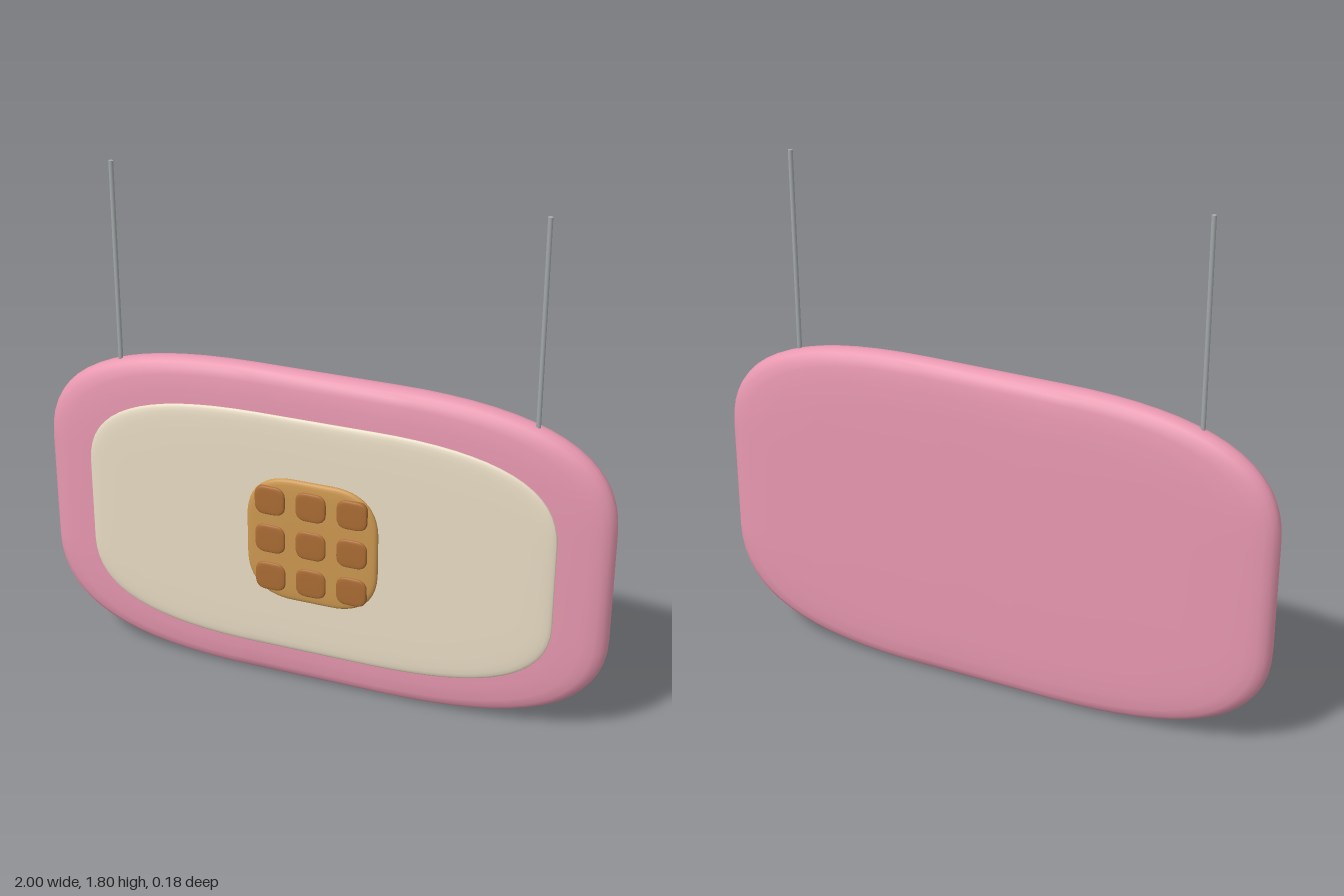
import * as THREE from 'three';

// Quarter corners on a unit square: start, two handles, end
const OVAL = [[0.25, 1], [0.75, 1], [1, 0.8], [1, 0.34]];
const SQUIRCLE = [[0.3, 1], [0.75, 1], [1, 0.75], [1, 0.3]];

// Edge profile from front centre to rim: [scale of outline, share of half depth]
const SOFT = [[0, 1], [0.4, 1], [0.7, 0.98], [0.84, 0.93], [0.92, 0.84], [0.96, 0.72],
  [0.983, 0.52], [0.996, 0.26], [1, 0]];

// Closed outline, counter-clockwise seen from the front
function outline(corner, hx, hy) {
  const [a, b, c, d] = corner.map(([x, y]) => new THREE.Vector2(x * hx, y * hy));
  const quarter = new THREE.CubicBezierCurve(d, c, b, a).getPoints(16);
  const flip = (sx, sy) => quarter.map(p => new THREE.Vector2(p.x * sx, p.y * sy));
  return [...quarter, ...flip(-1, 1).reverse(), ...flip(-1, -1), ...flip(1, -1).reverse()];
}

// Cushion: the outline lofted along the edge profile, front then back
function cushion(corner, hx, hy, hz) {
  const loop = outline(corner, hx, hy), n = loop.length;
  const rings = [...SOFT, ...SOFT.slice(0, -1).reverse().map(([s, z]) => [s, -z])];
  const pos = [], index = [];
  rings.forEach(([s, z], r) => {
    loop.forEach(p => pos.push(p.x * s, p.y * s, z * hz));
    if (r === 0) return;
    for (let i = 0; i < n; i++) {
      const j = (i + 1) % n, a = (r - 1) * n, b = r * n;
      index.push(a + i, b + i, b + j, a + i, b + j, a + j);
    }
  });
  const geo = new THREE.BufferGeometry();
  geo.setAttribute('position', new THREE.Float32BufferAttribute(pos, 3));
  geo.setIndex(index);
  geo.computeVertexNormals();
  return geo;
}

export function createModel() {
  const group = new THREE.Group();
  const paint = color => new THREE.MeshStandardMaterial({ color });
  const pink = paint(0xe898b0), cream = paint(0xe8dcc4);
  const waffle = paint(0xcc9850), caramel = paint(0xaa6c34), metal = paint(0xa4a8aa);

  const add = (name, geo, mat, x, y, z) => {
    const mesh = new THREE.Mesh(geo, mat);
    mesh.name = name;
    mesh.position.set(x, y, z);
    group.add(mesh);
  };

  // Sign board and its raised face
  add('board', cushion(OVAL, 1, 0.585, 0.0625), pink, 0, 0.588, -0.029);
  add('facePanel', cushion(OVAL, 0.825, 0.445, 0.014), cream, 0, 0.59, 0.045);

  // Waffle with a three by three grid of pads
  add('waffle', cushion(SQUIRCLE, 0.232, 0.23, 0.015), waffle, 0, 0.59, 0.066);
  const pad = cushion(SQUIRCLE, 0.054, 0.053, 0.012);
  for (let row = -1; row <= 1; row++)
    for (let col = -1; col <= 1; col++)
      add('wafflePad', pad, caramel, col * 0.145, 0.59 + row * 0.145, 0.077);

  // Hanging rods
  const rod = new THREE.CylinderGeometry(0.008, 0.008, 0.71, 12);
  for (const side of [-1, 1])
    add(side > 0 ? 'leftRod' : 'rightRod', rod, metal, side * 0.725, 1.453, -0.024);

  return group;
}
